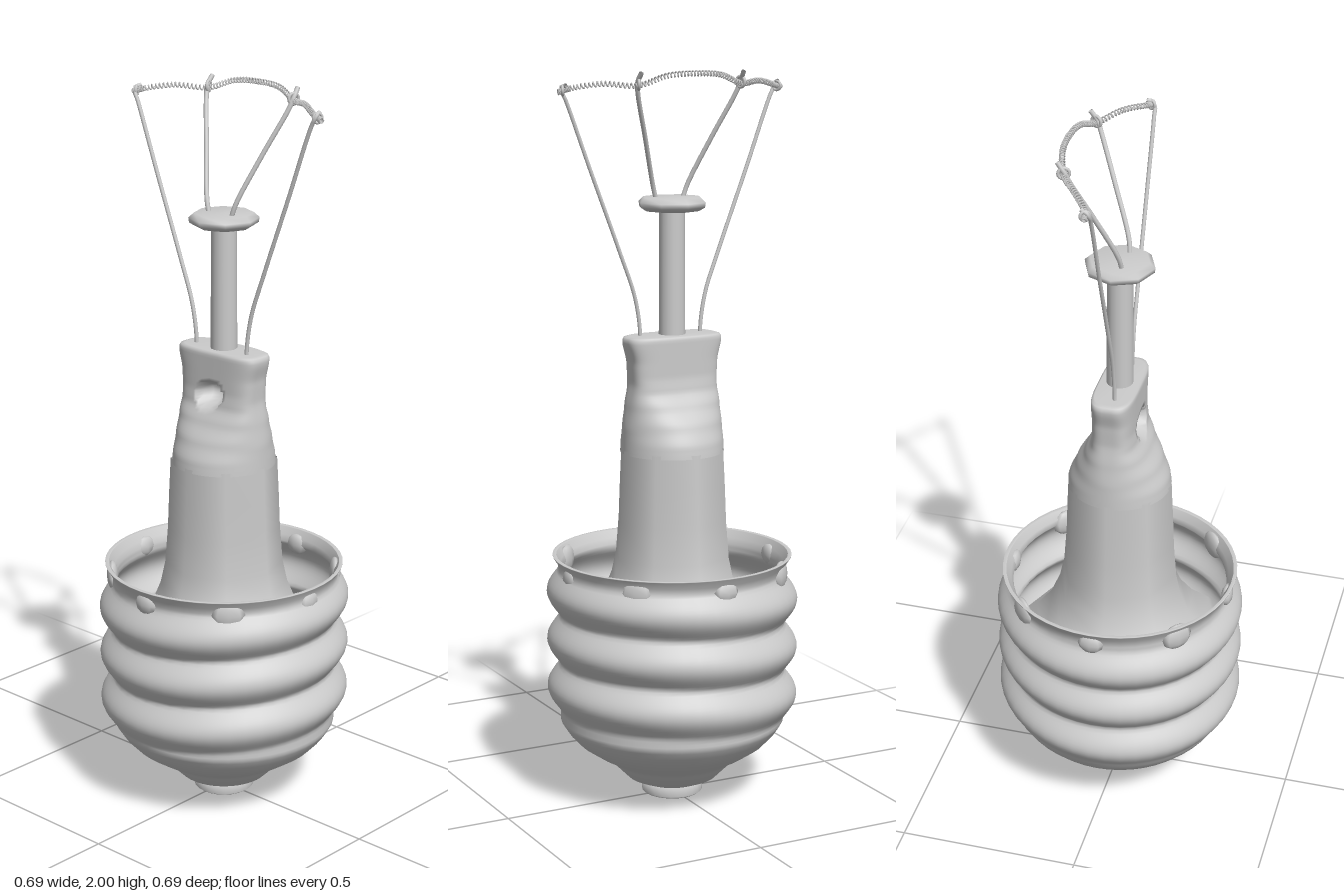
import * as THREE from 'three';

const material = new THREE.MeshStandardMaterial({ color: 0xcccccc, side: THREE.DoubleSide });
const V = (x, y, z) => new THREE.Vector3(x, y, z);

// Closed surface of stacked rings; point(row, angle) gives each vertex
function ringSurface(rows, cols, point) {
  const pos = [], index = [];
  rows.forEach((row, i) => {
    for (let j = 0; j < cols; j++) {
      pos.push(...point(row, (j / cols) * Math.PI * 2));
      if (i === rows.length - 1) continue;
      const k = (j + 1) % cols, a = i * cols, b = a + cols;
      index.push(a + j, a + k, b + k, a + j, b + k, b + j);
    }
  });
  const g = new THREE.BufferGeometry();
  g.setAttribute('position', new THREE.Float32BufferAttribute(pos, 3));
  g.setIndex(index);
  g.computeVertexNormals();
  return g;
}

const lathe = (pts, sides) =>
  new THREE.LatheGeometry(pts.map(([r, y]) => new THREE.Vector2(r, y)), sides);

const wire = (pts, radius, segments = 40) =>
  new THREE.TubeGeometry(new THREE.CatmullRomCurve3(pts), segments, radius, 8);

export function createModel() {
  const model = new THREE.Group();
  const add = (name, geometry) => {
    const mesh = new THREE.Mesh(geometry, material);
    mesh.name = name;
    model.add(mesh);
    return mesh;
  };

  // Screw shell: bowl, three slightly tilted thread ridges, rim and inner wall
  const PITCH = 0.135;
  const threadRows = (from, to, n, inset) => Array.from({ length: n + 1 }, (_, i) =>
    ({ y: from + (to - from) * i / n, r: 0.309 - inset, thread: true }));
  const plain = (pts) => pts.map(([r, y]) => ({ r, y }));
  const shellRows = [
    ...plain([[0.085, 0.033], [0.125, 0.05], [0.165, 0.09], [0.172, 0.1], [0.215, 0.123],
      [0.262, 0.155], [0.29, 0.185], [0.303, 0.205]]),
    ...threadRows(0.215, 0.645, 50, 0),
    ...plain([[0.315, 0.662], [0.328, 0.682], [0.328, 0.684], [0.318, 0.684], [0.318, 0.682], [0.305, 0.662]]),
    ...threadRows(0.645, 0.38, 30, 0.01),
  ];
  add('screwShell', ringSurface(shellRows, 48, ({ y, r, thread }, a) => {
    let radius = r;
    if (thread) {
      const h = y - 0.017 * Math.sin(a) + 0.008 * Math.cos(a);
      if (h > 0.2325 && h < 0.6375)
        radius += 0.036 * Math.pow(0.5 + 0.5 * Math.cos((h - 0.3) / PITCH * Math.PI * 2), 0.6);
    }
    return [radius * Math.sin(a), y, radius * Math.cos(a)];
  }));

  // Bottom contact
  add('baseContact', lathe([[0, 0], [0.078, 0], [0.084, 0.005], [0.084, 0.04], [0, 0.04]], 24));

  // Crimp marks around the rim
  for (let i = 0; i < 8; i++) {
    const a = i * Math.PI / 4, big = i % 2;
    const crimp = add('rimCrimp', new THREE.SphereGeometry(1, 8, 6));
    crimp.scale.set(big ? 0.045 : 0.036, big ? 0.04 : 0.03, 0.016);
    crimp.position.set(0.308 * Math.sin(a), 0.642, 0.308 * Math.cos(a));
    crimp.rotation.y = a;
  }

  // Flared eight-sided glass stem
  add('stemFlare', lathe([[0.31, 0.44], [0.295, 0.46], [0.245, 0.5], [0.2, 0.56], [0.175, 0.62],
    [0.162, 0.68], [0.154, 0.78], [0.15, 0.88], [0.145, 0.98]], 8));

  // Pinched neck: round below, flat slab above, with a dimple in front
  const xAt = [[0.97, 0.141], [1.04, 0.139], [1.1, 0.132], [1.16, 0.123], [1.22, 0.126], [1.27, 0.138], [1.3, 0.138]];
  const zAt = [[0.97, 0.141], [1.0, 0.137], [1.05, 0.116], [1.1, 0.086], [1.14, 0.064], [1.18, 0.058], [1.3, 0.058]];
  const lookUp = (table, y) => {
    const i = Math.max(1, table.findIndex(([h]) => h >= y));
    const [[y0, v0], [y1, v1]] = [table[i - 1], table[i]];
    return v0 + (v1 - v0) * THREE.MathUtils.smoothstep(y, y0, y1) * 0.4 + (v1 - v0) * 0.6 * (y - y0) / (y1 - y0);
  };
  const neckRows = Array.from({ length: 41 }, (_, i) => ({ y: 0.97 + 0.31 * i / 40, s: 1 }));
  neckRows.push({ y: 1.287, s: 0.97 }, { y: 1.29, s: 0.88 }, { y: 1.29, s: 0 });
  add('stemNeck', ringSurface(neckRows, 96, ({ y, s }, a) => {
    const power = 1 - 0.45 * THREE.MathUtils.smoothstep(y, 1.02, 1.18);
    const shape = (v) => Math.sign(v) * Math.pow(Math.abs(v), power);
    const x = s * lookUp(xAt, y) * shape(Math.sin(a));
    let z = s * lookUp(zAt, y) * shape(Math.cos(a));
    const d = Math.hypot(x / 0.044, (y - 1.17) / 0.038);
    if (z > 0 && d < 1) z -= 0.06 * Math.sqrt(1 - d * d);
    return [x, y, z];
  }));

  // Glass rod and its button
  add('supportRod', new THREE.CylinderGeometry(0.034, 0.036, 0.38, 16).translate(0, 1.455, 0));
  add('rodButton', lathe([[0.03, 1.618], [0.075, 1.622], [0.092, 1.632], [0.094, 1.645],
    [0.08, 1.658], [0, 1.66]], 8));

  // Lead and support wires, each with a hook around the filament
  for (const s of [1, -1]) {
    add('leadWire', wire([V(s * 0.09, 1.26, 0.01), V(s * 0.093, 1.32, 0.01), V(s * 0.108, 1.4, 0.01),
      V(s * 0.15, 1.515, 0.01), V(s * 0.235, 1.735, 0.01), V(s * 0.305, 1.92, 0.01),
      V(s * 0.32, 1.95, 0.008), V(s * 0.314, 1.958, -0.012)], 0.0055));
    add('supportWire', wire([V(s * 0.038, 1.645, 0.016), V(s * 0.052, 1.69, 0.01), V(s * 0.1, 1.82, -0.04),
      V(s * 0.145, 1.935, -0.088), V(s * 0.152, 1.965, -0.1), V(s * 0.15, 1.99, -0.118)], 0.0065));
    const leadHook = add('leadHook', new THREE.TorusGeometry(0.012, 0.004, 8, 16));
    leadHook.position.set(s * 0.318, 1.945, -0.001);
    leadHook.rotation.y = s * 1.1;
    const supportHook = add('supportHook', new THREE.TorusGeometry(0.014, 0.0045, 8, 16));
    supportHook.position.set(s * 0.15, 1.962, -0.102);
    supportHook.rotation.y = s * 1.2;
  }

  // Coiled filament wound along a curved path
  const path = new THREE.CatmullRomCurve3([V(-0.332, 1.94, 0), V(-0.3, 1.95, -0.008), V(-0.23, 1.962, -0.055),
    V(-0.15, 1.958, -0.102), V(-0.08, 1.982, -0.125), V(0, 1.987, -0.132), V(0.08, 1.982, -0.125),
    V(0.15, 1.958, -0.102), V(0.23, 1.962, -0.055), V(0.3, 1.95, -0.008), V(0.332, 1.94, 0)]);
  const TURNS = 85;
  class Coil extends THREE.Curve {
    getPoint(t, target = new THREE.Vector3()) {
      const along = path.getTangent(t);
      const side = V(0, 1, 0).cross(along).normalize();
      const up = along.clone().cross(side);
      const a = t * TURNS * Math.PI * 2;
      return target.copy(path.getPoint(t)).addScaledVector(side, 0.0065 * Math.cos(a))
        .addScaledVector(up, 0.0065 * Math.sin(a));
    }
  }
  add('filament', new THREE.TubeGeometry(new Coil(), TURNS * 10, 0.002, 5));

  return model;
}
